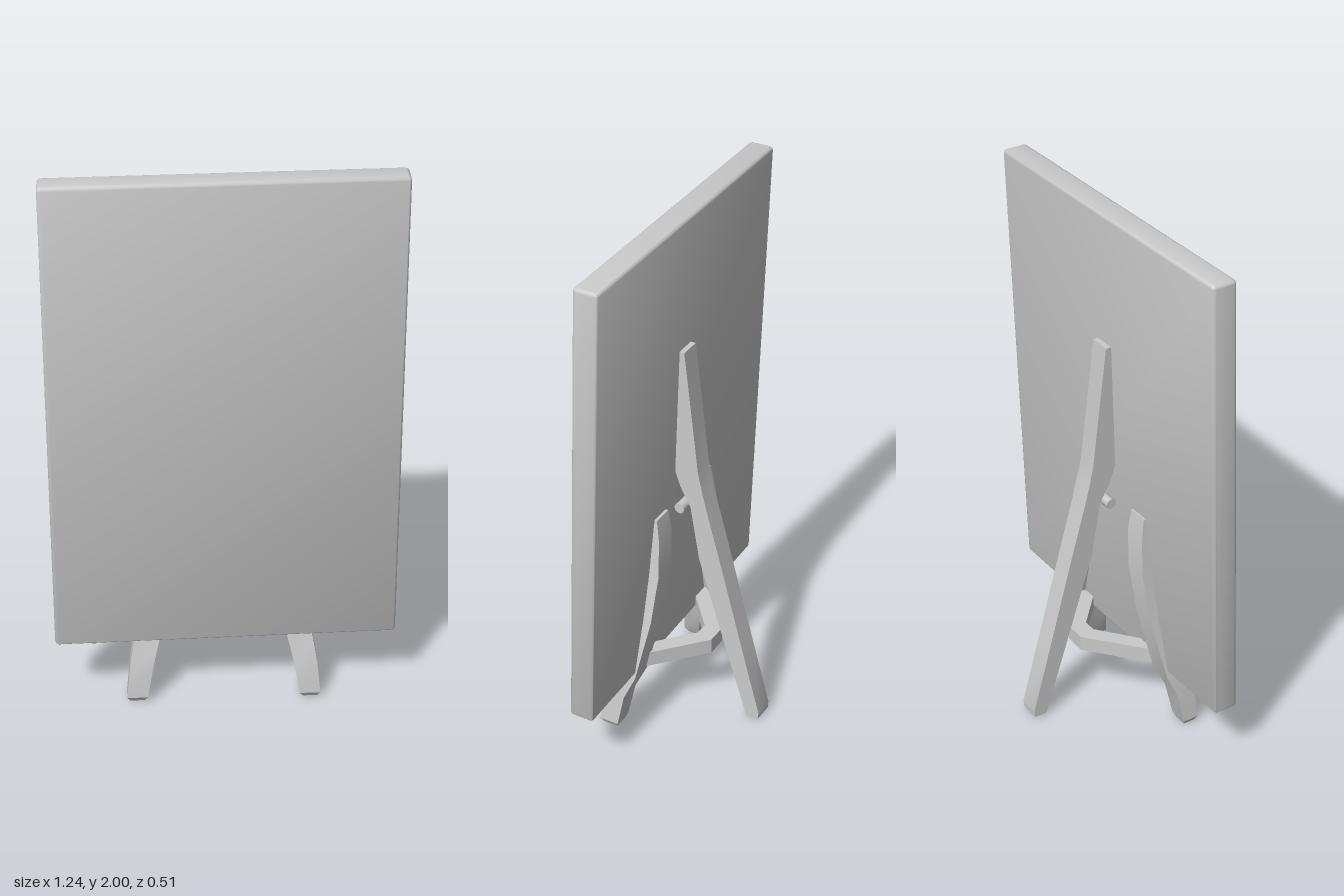
import * as THREE from 'three';
import { toCreasedNormals } from 'three/addons/utils/BufferGeometryUtils.js';
import { RoundedBoxGeometry } from 'three/addons/geometries/RoundedBoxGeometry.js';

const grey = new THREE.MeshStandardMaterial({ color: 0xcacaca });
grey.name = 'pale grey';

function part(name, geometry) {
  const mesh = new THREE.Mesh(geometry, grey);
  mesh.name = name;
  return mesh;
}

// Solid lofted through rectangular sections [y, x0, x1, zBack, zFront], listed bottom to top
function loft(sections) {
  const pos = [], idx = [];
  for (const [y, x0, x1, z0, z1] of sections) {
    pos.push(x0, y, z1, x1, y, z1, x1, y, z0, x0, y, z0);
  }
  for (let s = 0; s < sections.length - 1; s++) {
    for (let k = 0; k < 4; k++) {
      const a = s * 4 + k, b = s * 4 + (k + 1) % 4;
      idx.push(a, b, b + 4, a, b + 4, a + 4);
    }
  }
  const t = (sections.length - 1) * 4;
  idx.push(0, 2, 1, 0, 3, 2, t, t + 1, t + 2, t, t + 2, t + 3);
  const g = new THREE.BufferGeometry();
  g.setAttribute('position', new THREE.Float32BufferAttribute(pos, 3));
  g.setIndex(idx);
  return toCreasedNormals(g, 0.6);
}

// Thick panel, leaning back and turned slightly
function panel() {
  const g = new RoundedBoxGeometry(1.235, 1.745, 0.096, 2, 0.014);
  const p = g.attributes.position;
  for (let i = 0; i < p.count; i++) {
    const x = p.getX(i), y = p.getY(i) + 1.1275;
    p.setXYZ(i, x - 0.003, y, p.getZ(i) + 0.0975 - 0.027 * x + 0.044 * (2 - y));
  }
  g.computeVertexNormals();
  return toCreasedNormals(g, 0.7);
}

export function createModel() {
  const group = new THREE.Group();
  group.add(part('board', panel()));

  // Splayed front legs, running up the back of the board
  for (const side of [1, -1]) {
    const shift = side > 0 ? 0 : 0.012;
    const path = [
      // y, centre x, half width, back z, front z
      [0.005, 0.305, 0.026, 0.185, 0.24],
      [0.025, 0.304, 0.038, 0.177, 0.252],
      [0.15, 0.287, 0.042, 0.155, 0.24],
      [0.24, 0.268, 0.046, 0.115, 0.21],
      [0.47, 0.21, 0.046, 0.078, 0.17],
      [0.655, 0.175, 0.046, 0.064, 0.15],
      [0.8, 0.158, 0.045, 0.07, 0.14],
      [0.88, 0.152, 0.04, 0.084, 0.14],
    ];
    const sections = path.map(([y, x, w, z0, z1]) => {
      const c = side * x - 2 * shift;
      return [y, c - w, c + w, z0 + shift, z1];
    });
    group.add(part(side > 0 ? 'leftFrontLeg' : 'rightFrontLeg', loft(sections)));
  }

  // Bent rear leg
  const rear = [
    [0.012, -0.255, -0.205], [0.04, -0.257, -0.197], [0.3, -0.188, -0.115],
    [0.655, -0.095, -0.005], [0.87, -0.037, 0.03], [0.945, -0.018, 0.07],
    [1.03, 0.0, 0.1], [1.25, 0.024, 0.1], [1.5, 0.052, 0.09],
  ];
  group.add(part('rearLeg', loft(rear.map(([y, z0, z1]) => [y, -0.033, 0.047, z0, z1]))));

  // V-shaped brace joining the front legs
  const plan = new THREE.Shape([
    [-0.24, 0.125], [-0.035, -0.055], [0.045, -0.055], [0.24, 0.12],
    [0.18, 0.145], [0.03, 0.01], [-0.02, 0.01], [-0.18, 0.145],
  ].map(([x, z]) => new THREE.Vector2(x, z)));
  const brace = new THREE.ExtrudeGeometry(plan, { depth: 0.06, bevelEnabled: false });
  brace.rotateX(Math.PI / 2);
  brace.translate(0, 0.307, 0);
  group.add(part('brace', brace));

  // Hinge pin behind the board
  const pin = new THREE.CylinderGeometry(0.02, 0.02, 0.13, 10);
  pin.rotateZ(Math.PI / 2);
  pin.translate(0.007, 0.87, 0.062);
  group.add(part('hingePin', pin));

  // Small studs under the board
  for (const [x, z] of [[-0.48, 0.2], [0.56, 0.17]]) {
    const stud = new THREE.SphereGeometry(0.016, 8, 6);
    stud.translate(x, 0.253, z);
    group.add(part('stud', stud));
  }
  return group;
}
